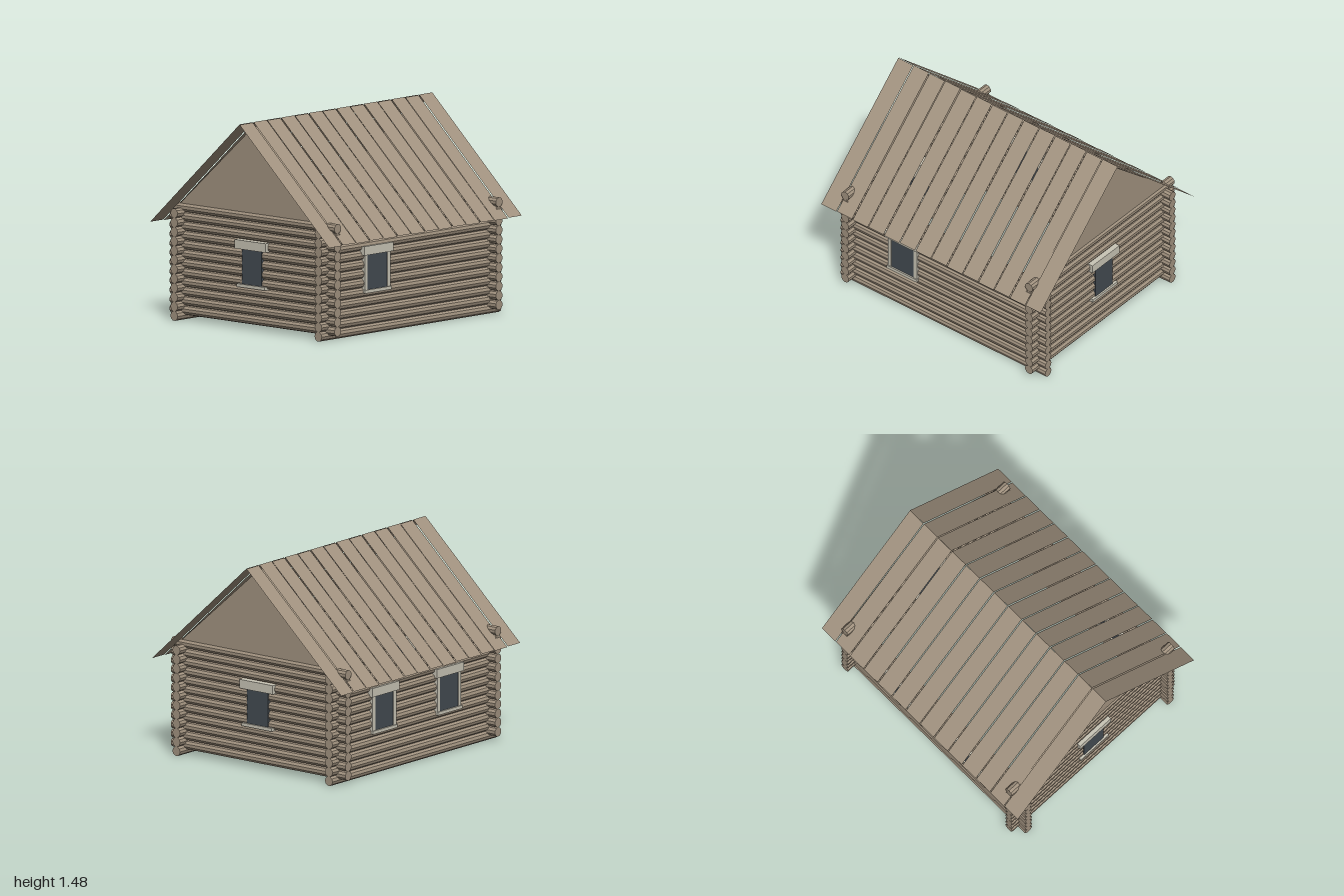
import * as THREE from 'three';

export function createModel() {
  const cabin = new THREE.Group();
  cabin.name = 'logCabin';

  const material = (name, color, extra = {}) => {
    const m = new THREE.MeshStandardMaterial({ color, ...extra });
    m.name = name;
    return m;
  };
  const wood = material('wood', 0xa29380, { flatShading: true });
  const boardWood = material('boardWood', 0xa29380, { side: THREE.DoubleSide });
  const trim = material('trim', 0xc9c5b6);
  const glass = material('glass', 0x434b52);

  const add = (parent, name, geometry, mat, x = 0, y = 0, z = 0) => {
    const mesh = new THREE.Mesh(geometry, mat);
    mesh.name = name;
    mesh.position.set(x, y, z);
    parent.add(mesh);
    return mesh;
  };

  // Log walls: the two directions are half a log apart in height and cross at the corners
  const wallX = 0.835, wallZ = 0.695, step = 0.0667, radius = 0.035;
  const longLog = new THREE.CylinderGeometry(radius, radius, 1.86, 10).rotateZ(Math.PI / 2);
  const sideLog = new THREE.CylinderGeometry(radius, radius, 1.59, 10).rotateX(Math.PI / 2);
  for (const s of [1, -1]) {
    for (let i = 0; i < 12; i++) {
      add(cabin, s > 0 ? 'frontLog' : 'backLog', longLog, wood, 0, 0.036 + i * step, s * wallZ);
      add(cabin, s > 0 ? 'leftLog' : 'rightLog', sideLog, wood, s * wallX, 0.072 + i * step, 0);
    }
  }

  // Gables
  const triangle = new THREE.Shape([
    new THREE.Vector2(-0.7, 0.835),
    new THREE.Vector2(0.7, 0.835),
    new THREE.Vector2(0, 1.45),
  ]);
  const gable = new THREE.ExtrudeGeometry(triangle, { depth: 0.05, bevelEnabled: false })
    .translate(0, 0, -0.025).rotateY(Math.PI / 2);
  for (const s of [1, -1]) add(cabin, 'gable', gable, wood, s * wallX, 0, 0);

  // Roof boards: thin sheets with narrow gaps, every other one set slightly higher
  const ridgeY = 1.482, eaveY = 0.695, eaveZ = 0.863;
  const rise = ridgeY - eaveY;
  const count = 14, pitch = 2 / count;
  const board = new THREE.PlaneGeometry(pitch - 0.007, Math.hypot(rise, eaveZ))
    .rotateX(-Math.atan2(eaveZ, rise));
  for (const s of [1, -1]) {
    const slope = new THREE.Group();
    slope.name = s > 0 ? 'frontRoof' : 'backRoof';
    slope.rotation.y = s > 0 ? 0 : Math.PI;
    for (let i = 0; i < count; i++) {
      add(slope, 'roofBoard', board, boardWood,
        -1 + pitch * (i + 0.5), (ridgeY + eaveY) / 2 + (i % 2) * 0.004, eaveZ / 2);
    }
    cabin.add(slope);
  }

  // Windows run right through the wall, so they show inside as well
  const addWindow = (x, z, turn, jambs) => {
    const w = new THREE.Group();
    w.name = 'window';
    const box = (name, width, y0, y1, depth, mat, px = 0) =>
      add(w, name, new THREE.BoxGeometry(width, y1 - y0, depth), mat, px, (y0 + y1) / 2, 0);
    box('pane', jambs ? 0.21 : 0.19, 0.322, 0.575, 0.076, glass);
    box('header', 0.302, 0.573, 0.637, 0.11, trim);
    box('sill', 0.274, 0.3, 0.323, 0.1, trim);
    if (jambs) {
      for (const s of [1, -1]) box('jamb', 0.029, 0.322, 0.574, 0.084, trim, s * 0.117);
    }
    w.position.set(x, 0, z);
    w.rotation.y = turn;
    cabin.add(w);
  };
  addWindow(-0.361, wallZ, 0, true);
  for (const s of [1, -1]) {
    addWindow(s * 0.361, -wallZ, Math.PI, true);
    addWindow(s * wallX, 0, s * Math.PI / 2, false);
  }

  return cabin;
}
